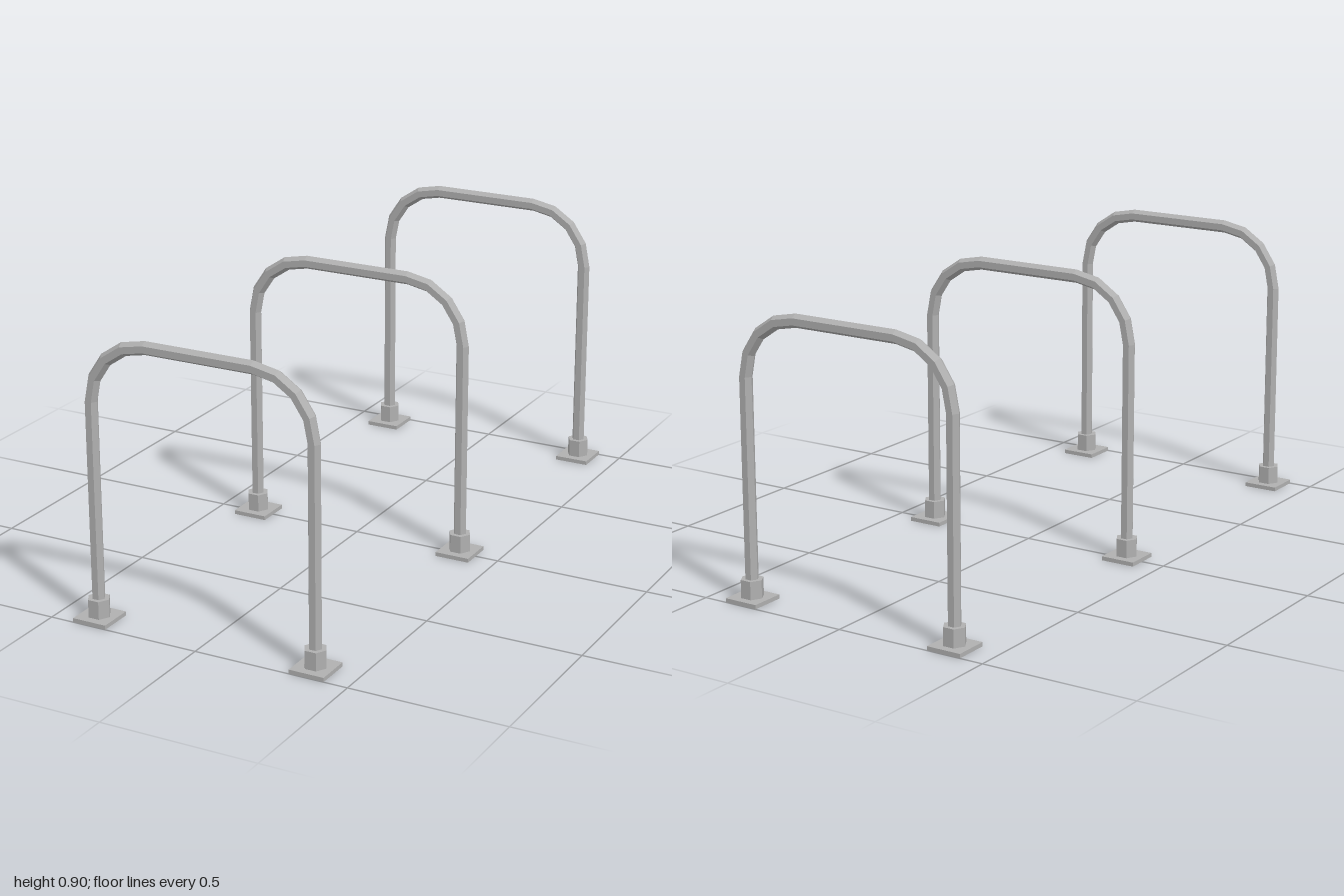
import * as THREE from 'three';

const LEG_X = 0.367, TUBE_R = 0.021, BEND_R = 0.19, BEND_X = 0.177, BEND_Y = 0.692;
const SPACING = 0.943;

// Six points of a hexagon with corners on the x axis
function hexPoints(r) {
  return Array.from({ length: 6 }, (_, i) =>
    new THREE.Vector2(r * Math.cos(i * Math.PI / 3), r * Math.sin(i * Math.PI / 3)));
}

// Upright slab with a hexagonal hole for the tube
function slab(points, y, height) {
  const shape = new THREE.Shape(points);
  shape.holes.push(new THREE.Path(hexPoints(TUBE_R)));
  const geo = new THREE.ExtrudeGeometry(shape, { depth: height, bevelEnabled: false });
  return geo.rotateX(-Math.PI / 2).translate(0, y, 0);
}

// Hexagonal tube: up one leg, round two bends, down the other leg
function hoopGeometry() {
  const stations = [{ x: -LEG_X, y: 0, a: Math.PI }];
  for (const side of [-1, 1]) {
    for (let k = 0; k <= 4; k++) {
      const a = (side < 0 ? Math.PI : Math.PI / 2) - k * Math.PI / 8;
      stations.push({ x: side * BEND_X + BEND_R * Math.cos(a), y: BEND_Y + BEND_R * Math.sin(a), a });
    }
  }
  stations.push({ x: LEG_X, y: 0, a: 0 });

  const positions = [], index = [];
  for (const s of stations) {
    for (const p of hexPoints(TUBE_R)) {
      positions.push(s.x + p.x * Math.cos(s.a), s.y + p.x * Math.sin(s.a), p.y);
    }
  }
  for (let i = 0; i < stations.length - 1; i++) {
    for (let j = 0; j < 6; j++) {
      const a = i * 6 + j, b = i * 6 + (j + 1) % 6;
      index.push(a, b, b + 6, a, b + 6, a + 6);
    }
  }
  const geo = new THREE.BufferGeometry();
  geo.setAttribute('position', new THREE.Float32BufferAttribute(positions, 3));
  geo.setIndex(index);
  const flat = geo.toNonIndexed();
  flat.computeVertexNormals();
  return flat;
}

export function createModel() {
  const model = new THREE.Group();
  model.name = 'bikeRacks';
  const steel = new THREE.MeshStandardMaterial({ color: 0xb0b0b0, side: THREE.DoubleSide, flatShading: true });
  steel.name = 'galvanised steel';

  const h = 0.0565;
  const square = [[-h, -h], [h, -h], [h, h], [-h, h]].map(([x, y]) => new THREE.Vector2(x, y));
  const plateGeo = slab(square, 0, 0.013);
  const collarGeo = slab(hexPoints(0.036), 0.013, 0.057);
  const hoopGeo = hoopGeometry();

  const add = (parent, geo, name, x) => {
    const mesh = new THREE.Mesh(geo, steel);
    mesh.name = name;
    mesh.position.x = x;
    parent.add(mesh);
  };

  // Three identical racks in a row
  for (const row of [-1, 0, 1]) {
    const rack = new THREE.Group();
    rack.name = 'rack';
    rack.position.z = row * SPACING;
    add(rack, hoopGeo, 'hoop', 0);
    for (const side of [-1, 1]) {
      add(rack, plateGeo, 'basePlate', side * LEG_X);
      add(rack, collarGeo, 'collar', side * LEG_X);
    }
    model.add(rack);
  }
  return model;
}
